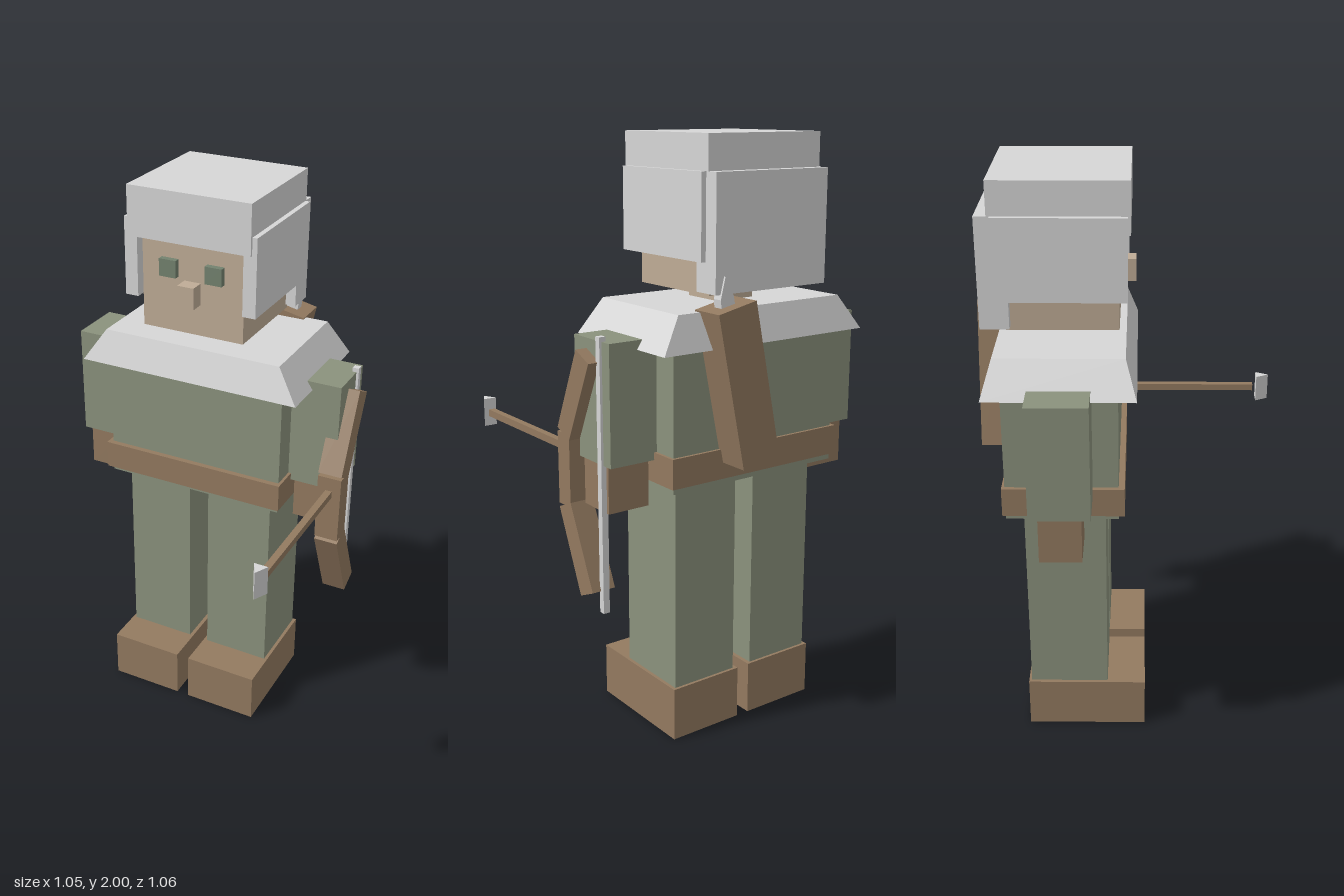
import * as THREE from 'three';

const material = (name, color) => {
  const m = new THREE.MeshStandardMaterial({ color });
  m.name = name;
  return m;
};

export function createModel() {
  const green = material('green cloth', 0x8b927d);
  const eyeGreen = material('eye green', 0x73826f);
  const brown = material('brown leather', 0x937a60);
  const skin = material('skin', 0xbfac96);
  const grey = material('pale grey', 0xd6d6d6);

  const model = new THREE.Group();
  model.name = 'archer';

  const add = (name, geometry, mat, parent = model) => {
    const mesh = new THREE.Mesh(geometry, mat);
    mesh.name = name;
    parent.add(mesh);
    return mesh;
  };
  // Box given by its limits on each axis
  const box = (name, mat, [x0, x1], [y0, y1], [z0, z1], parent) => {
    const g = new THREE.BoxGeometry(x1 - x0, y1 - y0, z1 - z0);
    g.translate((x0 + x1) / 2, (y0 + y1) / 2, (z0 + z1) / 2);
    return add(name, g, mat, parent);
  };
  // Flat outline pushed out to a given depth
  const prism = (points, depth) => new THREE.ExtrudeGeometry(
    new THREE.Shape(points.map(([a, b]) => new THREE.Vector2(a, b))),
    { depth, bevelEnabled: false });
  // The body is symmetric about a line slightly off the origin
  const mid = -0.0225;
  const pair = (name, mat, near, far, y, z) => {
    box('left' + name, mat, [mid + near, mid + far], y, z);
    box('right' + name, mat, [mid - far, mid - near], y, z);
  };

  // Legs, boots and arms
  pair('Leg', green, 0.038, 0.285, [0.18, 0.9], [-0.36, -0.085]);
  pair('Boot', brown, 0.024, 0.297, [0, 0.185], [-0.37, 0.05]);
  pair('Arm', green, 0.325, 0.507, [0.99, 1.385], [-0.325, -0.125]);
  pair('Hand', brown, 0.345, 0.497, [0.83, 0.99], [-0.295, -0.155]);

  // Torso and belt
  box('torso', green, [-0.355, 0.31], [0.895, 1.36], [-0.415, -0.04]);
  box('belt', brown, [-0.37, 0.32], [0.915, 1.015], [-0.425, -0.02]);

  // Shoulder cape: a box drawn in towards the top
  const cape = new THREE.BoxGeometry(0.81, 0.115, 0.49);
  const p = cape.attributes.position;
  for (let i = 0; i < p.count; i++) {
    if (p.getY(i) > 0) p.setXYZ(i, p.getX(i) * 0.81, p.getY(i), p.getZ(i) * 0.855);
  }
  cape.computeVertexNormals();
  add('shoulderCape', cape, grey).position.set(mid, 1.4125, -0.225);

  // Head and face
  box('neck', skin, [-0.097, 0.052], [1.45, 1.52], [-0.295, -0.15]);
  box('head', skin, [-0.21, 0.163], [1.51, 1.96], [-0.4, -0.037]);
  box('nose', skin, [-0.054, 0.006], [1.62, 1.695], [-0.04, 0.015]);
  pair('Eye', eyeGreen, 0.053, 0.115, [1.705, 1.765], [-0.04, -0.015]);

  // Hood
  box('hoodTop', grey, [-0.245, 0.2], [1.83, 2], [-0.44, 0]);
  box('hoodBack', grey, [-0.245, 0.2], [1.525, 1.89], [-0.48, -0.385]);
  pair('HoodFlap', grey, 0.193, 0.24, [1.62, 1.89], [-0.43, -0.01]);

  // Bow: a straight grip and two limbs swept back, with a string
  const bow = new THREE.Group();
  bow.name = 'bow';
  model.add(bow);
  box('bowGrip', brown, [0.44, 0.525], [0.82, 1.065], [-0.145, -0.075], bow);
  const gripY = 0.942;
  for (const s of [1, -1]) {
    // Outline as (-z, y), turned so that depth runs along x
    const outline = [[0.075, 0.135], [0.145, 0.105], [0.27, 0.377], [0.197, 0.41]]
      .map(([a, b]) => [a, gripY + s * b]);
    const limb = prism(outline, 0.085);
    limb.rotateY(Math.PI / 2);
    limb.translate(0.44, 0, 0);
    add(s > 0 ? 'upperLimb' : 'lowerLimb', limb, brown, bow);
  }
  box('bowString', grey, [0.47, 0.493], [0.49, 1.4], [-0.284, -0.262], bow);

  // Arrow on the bow
  box('arrowShaft', brown, [0.47, 0.494], [0.99, 1.015], [-0.14, 0.467], bow);
  const head = prism([[0.458, -0.48], [0.506, -0.48], [0.482, -0.527]].reverse(), 0.1);
  head.rotateX(-Math.PI / 2);
  head.translate(0, 0.952, 0);
  add('arrowHead', head, grey, bow);

  // Slanted quiver on the back with a spare arrow
  const quiver = prism([[-0.025, 1.0], [0.12, 0.97], [0.225, 1.475], [0.08, 1.505]], 0.12);
  quiver.translate(0, 0, -0.53);
  add('quiver', quiver, brown);
  const spare = prism([[0.125, 1.47], [0.18, 1.465], [0.185, 1.51], [0.168, 1.58], [0.135, 1.52]], 0.035);
  spare.translate(0, 0, -0.487);
  add('spareArrow', spare, grey);

  return model;
}
